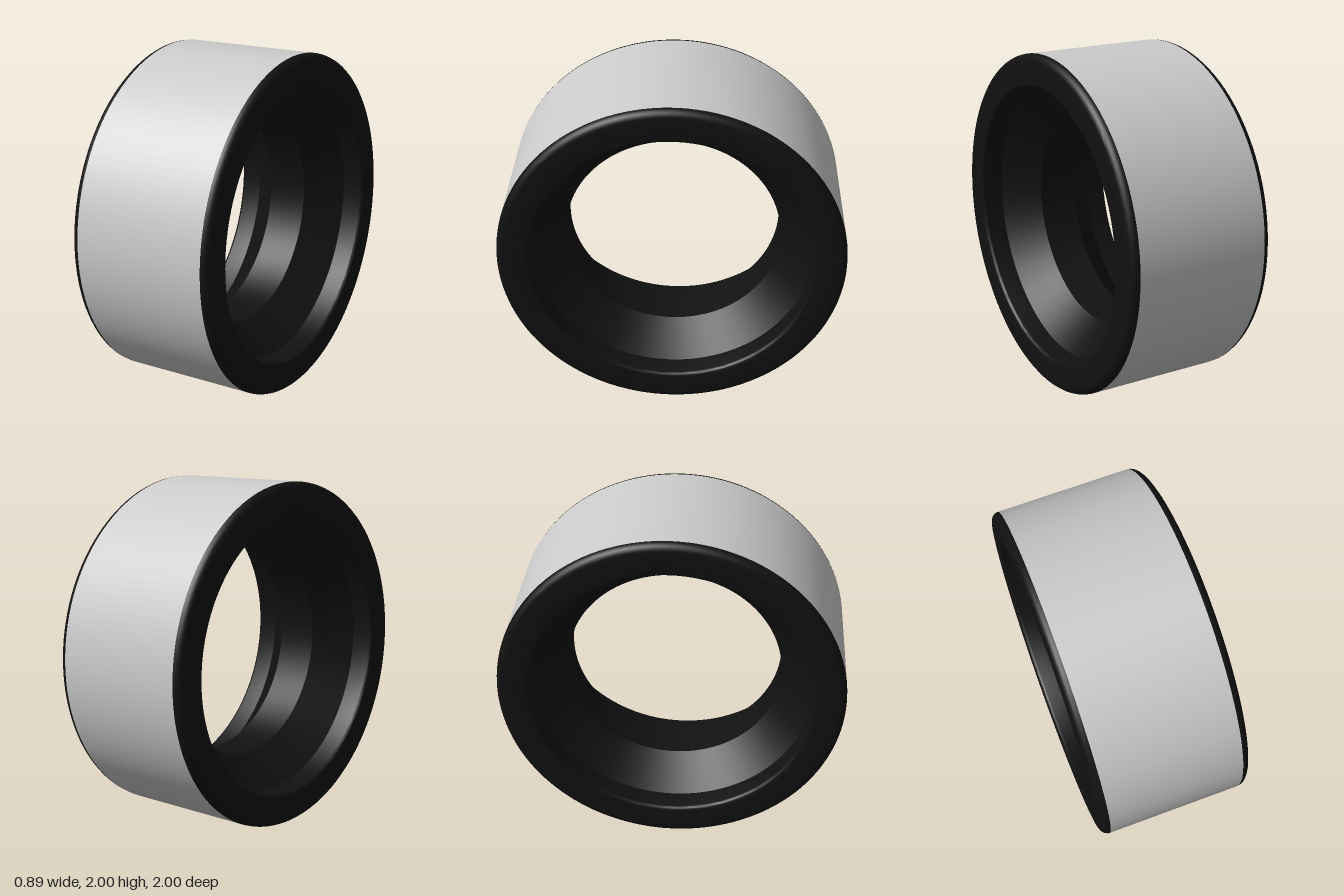
import * as THREE from 'three';
import { toCreasedNormals } from 'three/addons/utils/BufferGeometryUtils.js';

const SEGMENTS = 128;
const HALF_WIDTH = 0.445;

// Quarter-circle run of profile points (radius, axial position)
function arc(cr, ca, radius, from, to, steps = 6) {
  return Array.from({ length: steps + 1 }, (_, i) => {
    const t = from + ((to - from) * i) / steps;
    return new THREE.Vector2(cr + radius * Math.cos(t), ca + radius * Math.sin(t));
  });
}

// Revolve a profile around the x axis
function revolve(name, points, material) {
  const lathe = new THREE.LatheGeometry(points, SEGMENTS);
  lathe.rotateZ(-Math.PI / 2);
  const mesh = new THREE.Mesh(toCreasedNormals(lathe, 0.6), material);
  mesh.name = name;
  return mesh;
}

export function createModel() {
  const group = new THREE.Group();
  group.name = 'tyre';
  const treadMaterial = new THREE.MeshStandardMaterial({ color: 0xcccccc });
  const rubberMaterial = new THREE.MeshStandardMaterial({ color: 0x111111 });

  // Smooth outer running surface
  const tread = revolve('tread', [new THREE.Vector2(1, -0.4), new THREE.Vector2(1, 0.4)], treadMaterial);

  // Rounded shoulder, flat side wall, bead lip, then the cone down to the centre band
  const half = [
    ...arc(0.955, 0.4, 0.045, 0, Math.PI / 2),
    ...arc(0.83, HALF_WIDTH - 0.02, 0.02, Math.PI / 2, Math.PI),
    new THREE.Vector2(0.81, 0.31),
    new THREE.Vector2(0.63, 0.12),
  ];
  const mirrored = half.map((p) => new THREE.Vector2(p.x, -p.y)).reverse();
  const body = revolve('sideWallsAndInnerBand', [...half, ...mirrored], rubberMaterial);

  group.add(tread, body);
  group.position.y = 1;
  const model = new THREE.Group();
  model.name = 'wheel';
  model.add(group);
  return model;
}
